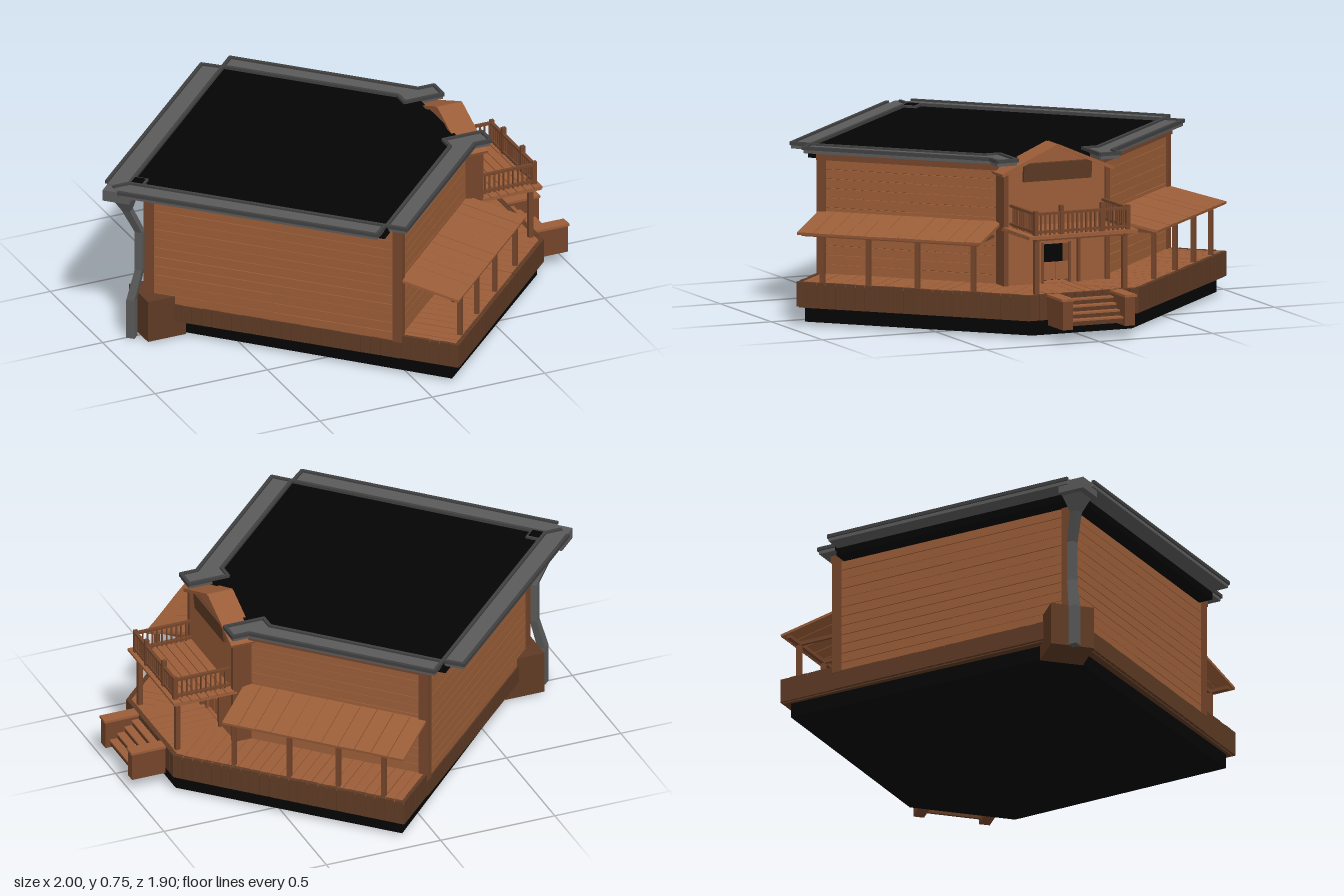
import * as THREE from 'three';

const mat = (color) => new THREE.MeshStandardMaterial({ color, flatShading: true });

export function createModel() {
  const root = new THREE.Group();
  const wood = mat(0x9b5d38), trim = mat(0x74452a), skirt = mat(0x5e3a24);
  const black = mat(0x040404), grey = mat(0x5a5a5a), rim = mat(0x404040);
  let seed = 7;
  const rnd = () => (seed = (seed * 16807) % 2147483647) / 2147483647;

  const add = (parent, name, geo, m) => {
    const mesh = new THREE.Mesh(geo, m);
    mesh.name = name;
    parent.add(mesh);
    return mesh;
  };
  const group = (name, parent = root) => {
    const g = new THREE.Group();
    g.name = name;
    parent.add(g);
    return g;
  };
  // box given by its limits
  const box = (p, name, m, x0, x1, y0, y1, z0, z1) => {
    const b = add(p, name, new THREE.BoxGeometry(Math.abs(x1 - x0), y1 - y0, Math.abs(z1 - z0)), m);
    b.position.set((x0 + x1) / 2, (y0 + y1) / 2, (z0 + z1) / 2);
    return b;
  };
  const shapeOf = (pts) => new THREE.Shape(pts.map(([x, y]) => new THREE.Vector2(x, y)));
  // flat slab from a plan outline of [x, z] points
  const slab = (p, name, m, pts, y0, y1) => {
    const shape = shapeOf(pts.map(([x, z]) => [x, -z]));
    const geo = new THREE.ExtrudeGeometry(shape, { depth: y1 - y0, bevelEnabled: false });
    return add(p, name, geo.rotateX(-Math.PI / 2).translate(0, y0, 0), m);
  };
  // outline symmetric about z = 0, from its +z half
  const sym = (half) => [...half, ...half.filter((q) => q[1] > 0).reverse().map(([x, z]) => [x, -z])];
  // square bar between two points
  const bar = (p, name, m, a, b, t) => {
    const A = new THREE.Vector3(...a), B = new THREE.Vector3(...b);
    const mesh = add(p, name, new THREE.BoxGeometry(t, t, A.distanceTo(B) + t / 2), m);
    mesh.position.copy(A).add(B).multiplyScalar(0.5);
    mesh.lookAt(B);
  };
  // row of boards side by side along x, with fine uneven gaps
  const boards = (p, name, m, n, x0, x1, y0, y1, z0, z1) => {
    const w = (x1 - x0) / n;
    for (let i = 0; i < n; i++) {
      const gap = 0.001 + rnd() * 0.003;
      box(p, name, m, x0 + i * w + gap / 2, x0 + (i + 1) * w - gap / 2, y0, y1 - rnd() * 0.002, z0, z1);
    }
  };
  // horizontal cladding in two columns
  const cladding = (p, x0, x1, y0, y1, z0, z1) => {
    const n = 12, h = (y1 - y0) / n, mid = (x0 + x1) / 2;
    for (let i = 0; i < n; i++) {
      for (const [a, b] of [[x0, mid], [mid, x1]]) {
        box(p, 'wallBoard', wood, a, b, y0 + i * h, y0 + (i + 1) * h - 0.001 - rnd() * 0.002, z0, z1);
      }
    }
  };

  // foundation, deck body and building core
  slab(root, 'foundation', black, sym([[-0.75, 0], [0.13, 0.91], [0.83, 0.22]]), 0.014, 0.08);
  slab(root, 'deckBase', skirt, sym([[-0.8, 0], [0.14, 0.94], [0.84, 0.24]]), 0.075, 0.152);
  slab(root, 'deck', skirt, sym([[-0.03, 0.77], [0.14, 0.94], [0.84, 0.24]]), 0.15, 0.174);
  slab(root, 'buildingCore', skirt, sym([[-0.795, 0], [-0.035, 0.762], [0.5, 0.225]]), 0.15, 0.67);
  slab(root, 'roof', black, sym([[-0.89, 0], [-0.1, 0.79], [0.46, 0.23], [0.5, 0.18]]), 0.67, 0.688);

  for (const s of [1, -1]) {
    // front wall with porch; local z points out of the wall
    const front = group('frontWing');
    front.rotation.y = s > 0 ? Math.PI / 4 : Math.PI * 0.75;
    const span = (a, b) => (s > 0 ? [a, b] : [-b, -a]);
    cladding(front, ...span(-0.57, 0.2), 0.178, 0.645, 0.5, 0.523);
    box(front, 'fascia', trim, ...span(-0.58, 0.2), 0.643, 0.676, 0.5, 0.535);
    box(front, 'cornerPost', trim, ...span(-0.58, -0.54), 0.155, 0.65, 0.49, 0.53);
    boards(front, 'deckBoard', wood, 22, ...span(-0.573, 0.43), 0.17, 0.18, 0.52, 0.77);
    boards(front, 'skirtBoard', skirt, 24, ...span(-0.573, 0.431), 0.08, 0.182, 0.755, 0.773);
    const porchRoof = group('porchRoof', front);
    porchRoof.position.set(0, 0.435, 0.523);
    porchRoof.rotation.x = 0.2;
    boards(porchRoof, 'porchRoofBoard', wood, 11, ...span(-0.573, 0.219), -0.012, 0, -0.01, 0.255);
    box(front, 'porchBeam', trim, ...span(-0.56, 0.2), 0.365, 0.382, 0.733, 0.75);
    for (const x of [-0.474, -0.276, -0.064, 0.177]) {
      box(front, 'porchPost', trim, s * x - 0.009, s * x + 0.009, 0.178, 0.37, 0.732, 0.75);
      box(front, 'porchRafter', trim, s * x - 0.006, s * x + 0.006, 0.365, 0.38, 0.52, 0.74);
    }

    // rear wall with dark eaves beam
    const rear = group('rearWing');
    rear.rotation.y = s * -Math.PI / 4 - (s < 0 ? Math.PI : 0);
    cladding(rear, ...span(-0.57, 0.52), 0.152, 0.645, 0.55, 0.573);
    for (const [a, b] of [[-0.573, -0.535], [0.49, 0.529]]) {
      box(rear, 'cornerPost', trim, ...span(a, b), 0.152, 0.65, 0.545, 0.58);
    }
    boards(rear, 'skirtBoard', skirt, 24, ...span(-0.5, 0.523), 0.08, 0.157, 0.56, 0.578);
    boards(rear, 'skirtBoard', skirt, 6, ...span(0.523, 0.771), 0.08, 0.182, 0.56, 0.575);
    box(rear, 'eavesBeam', black, ...span(-0.62, 0.477), 0.64, 0.674, 0.55, 0.635);

    // gutters: flat channel with raised rims
    const channels = [
      [[-0.955, 0.055], [-0.17, 0.835], [-0.105, 0.775], [-0.88, 0], [-0.95, 0]],
      [[-0.1, 0.78], [-0.04, 0.84], [0.53, 0.27], [0.6, 0.27], [0.6, 0.185], [0.43, 0.185], [0.43, 0.25]],
    ];
    for (const c of channels) {
      const pts = c.map(([x, z]) => [x, z * s]);
      slab(root, 'gutter', grey, pts, 0.672, 0.692);
      pts.forEach(([x, z], i) => {
        const [x2, z2] = pts[(i + 1) % pts.length];
        if (x > -0.95 || x2 > -0.88) bar(root, 'gutterRim', rim, [x, 0.693, z], [x2, 0.693, z2], 0.014);
      });
    }
  }

  // rear corner block, rain hopper and downspout
  box(root, 'cornerBlock', skirt, -0.84, -0.67, 0.01, 0.19, -0.09, 0.09);
  slab(root, 'rainHopper', grey, sym([[-1.0, 0], [-0.92, 0.08], [-0.84, 0]]), 0.643, 0.69);
  const spout = group('downspout');
  const path = [[-0.87, 0, 0.025], [-0.87, 0.17, 0.025], [-0.835, 0.3, 0.022], [-0.835, 0.47, 0.022],
    [-0.89, 0.58, 0.025], [-0.9, 0.643, 0.06]];
  for (let i = 0; i < path.length - 1; i++) {
    const [x0, y0, r0] = path[i], [x1, y1, r1] = path[i + 1];
    const geo = new THREE.CylinderGeometry(r1, r0, y1 - y0, 4);
    const pos = geo.attributes.position;
    for (let k = 0; k < pos.count; k++) {
      pos.setX(k, pos.getX(k) + (pos.getY(k) > 0 ? x1 : x0));
    }
    add(spout, 'downspoutSegment', geo.translate(0, (y0 + y1) / 2, 0), grey);
  }
  const drain = add(root, 'drainHole', new THREE.CylinderGeometry(0.045, 0.045, 0.012, 4), rim);
  drain.position.set(-0.84, 0.692, 0);
  add(drain, 'drainOpening', new THREE.CylinderGeometry(0.032, 0.032, 0.004, 4), black).position.y = 0.007;

  // entrance tower with gable and doorway
  const tower = group('entranceTower');
  const facade = shapeOf([[-0.23, 0.175], [0.23, 0.175], [0.23, 0.64], [0, 0.735], [-0.23, 0.64]]);
  facade.holes.push(shapeOf([[-0.056, 0.18], [-0.056, 0.338], [0.056, 0.338], [0.056, 0.18]]));
  add(tower, 'facade', new THREE.ExtrudeGeometry(facade, { depth: 0.075, bevelEnabled: false }).rotateY(Math.PI / 2).translate(0.5, 0, 0), wood);
  box(tower, 'doorwayDark', black, 0.48, 0.515, 0.175, 0.36, -0.08, 0.08);
  box(tower, 'doorHeader', trim, 0.57, 0.588, 0.385, 0.4, -0.1, 0.1);
  box(tower, 'signBoard', skirt, 0.58, 0.594, 0.6, 0.675, -0.15, 0.15).rotation.z = -0.1;
  for (const s of [1, -1]) {
    box(tower, 'swingDoor', wood, 0.56, 0.568, 0.19, 0.262, s * 0.001, s * 0.056);
    box(tower, 'doorFrame', trim, 0.57, 0.58, 0.178, 0.345, s * 0.056, s * 0.064);
    box(tower, 'doorPost', trim, 0.57, 0.59, 0.178, 0.4, s * 0.09, s * 0.102);
    box(tower, 'towerPost', trim, 0.5, 0.585, 0.178, 0.64, s * 0.215, s * 0.235);
    const slope = box(tower, 'gableRoof', wood, 0.487, 0.598, -0.014, 0, -0.134, 0.134);
    slope.position.set(0.543, 0.686, s * 0.124);
    slope.rotation.x = s * 0.41;
  }

  // balcony over the entrance
  const balcony = group('balcony');
  box(balcony, 'balconyFloor', wood, 0.57, 0.84, 0.405, 0.412, -0.24, 0.24);
  for (let i = 0; i < 7; i++) {
    box(balcony, 'balconyBoard', wood, 0.58 + i * 0.0385, 0.615 + i * 0.0385, 0.41, 0.42, -0.24, 0.24);
  }
  for (const y of [0.433, 0.507]) {
    box(balcony, 'frontRail', trim, 0.818, 0.832, y - 0.005, y + 0.005, -0.2, 0.2);
  }
  for (let i = 1; i < 20; i++) {
    const z = -0.2 + i * 0.02;
    box(balcony, 'baluster', trim, 0.822, 0.829, 0.42, 0.507, z - 0.0035, z + 0.0035);
  }
  for (const s of [1, -1]) {
    for (const y of [0.433, 0.507]) {
      box(balcony, 'sideRail', trim, 0.585, 0.83, y - 0.005, y + 0.005, s * 0.196, s * 0.21);
    }
    for (let i = 0; i < 11; i++) {
      box(balcony, 'baluster', trim, 0.603 + i * 0.021, 0.609 + i * 0.021, 0.42, 0.507, s * 0.2, s * 0.206);
    }
    for (const [z, top] of [[0.203, 0.52], [0.09, 0.538]]) {
      box(balcony, 'newelPost', trim, 0.817, 0.835, 0.42, top, s * z - 0.008, s * z + 0.008);
    }
    box(balcony, 'supportPost', trim, 0.802, 0.822, 0.175, 0.408, s * 0.185, s * 0.205);
    box(balcony, 'floorBeam', trim, 0.58, 0.835, 0.395, 0.408, s * 0.188, s * 0.203);
  }
  box(balcony, 'frontBeam', trim, 0.805, 0.82, 0.395, 0.408, -0.2, 0.2);

  // front edge of the deck and steps
  const edge = group('deckFront');
  edge.rotation.y = Math.PI / 2;
  boards(edge, 'skirtBoard', skirt, 12, -0.24, 0.24, 0.08, 0.182, 0.83, 0.85);
  boards(edge, 'deckBoard', wood, 11, -0.235, 0.235, 0.17, 0.179, 0.57, 0.835);
  const steps = group('steps');
  for (let i = 0; i < 4; i++) {
    const x = 0.848 + i * 0.032, y = 0.16 - i * 0.023;
    box(steps, 'riser', skirt, x + 0.02, x + 0.03, y - 0.025, y - 0.005, -0.115, 0.115);
    box(steps, 'tread', wood, x, x + 0.034, y - 0.007, y, -0.115, 0.115);
  }
  for (const s of [1, -1]) {
    box(steps, 'stepCheek', trim, 0.85, 0.995, 0.055, 0.174, s * 0.115, s * 0.16);
    box(steps, 'cheekCap', wood, 0.85, 1.0, 0.172, 0.182, s * 0.112, s * 0.165);
  }
  return root;
}
